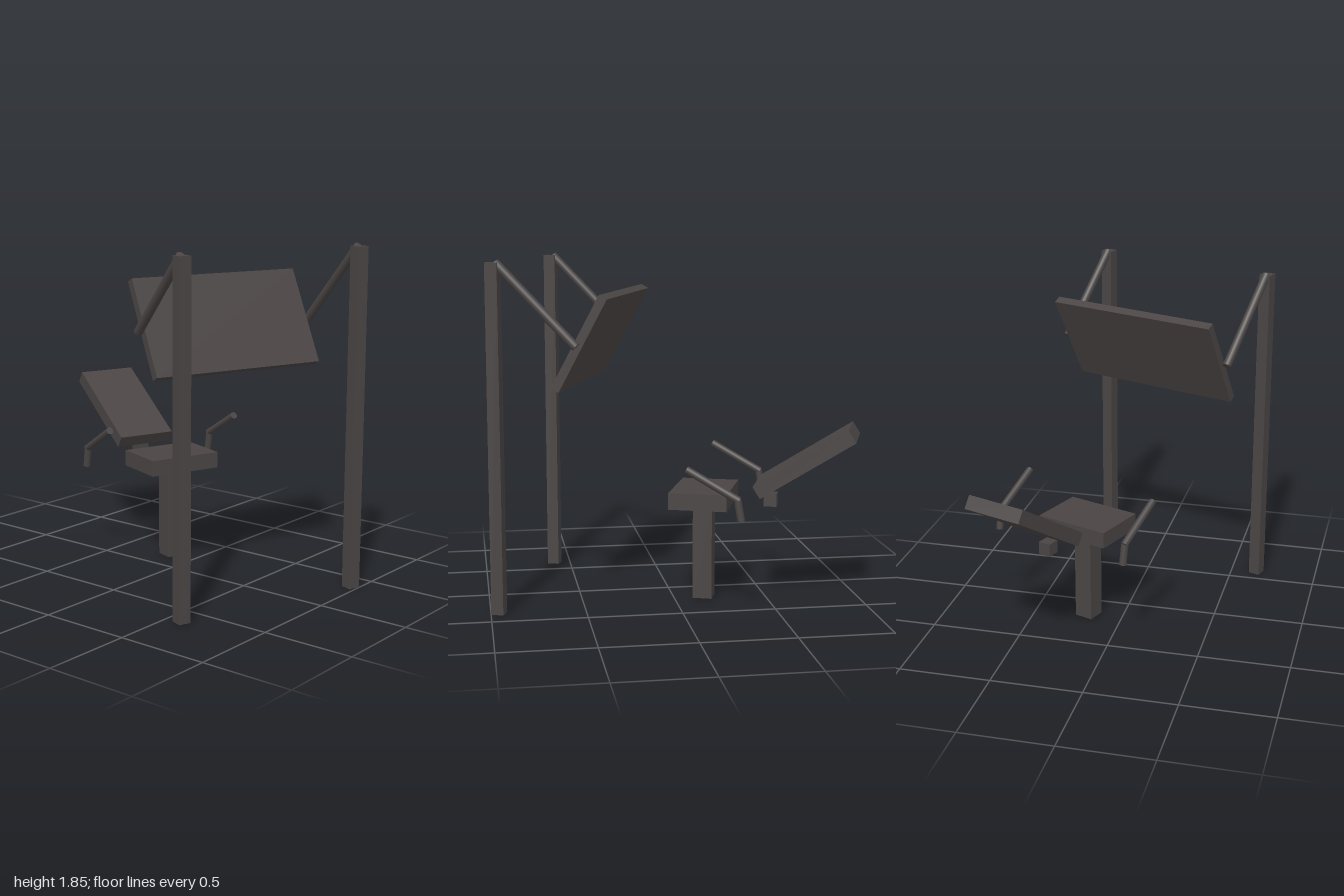
import * as THREE from 'three';

export function createModel() {
  const model = new THREE.Group();
  const charcoal = new THREE.MeshStandardMaterial({ color: 0x4a4544 });

  // Everything is laid out along its own axis, then turned about y
  const station = new THREE.Group();
  station.name = 'workstation';
  station.rotation.y = THREE.MathUtils.degToRad(-20);
  model.add(station);

  const MID = -0.126; // symmetry plane of the station (local z)

  function box(name, size, pos, tilt = 0) {
    const mesh = new THREE.Mesh(new THREE.BoxGeometry(...size), charcoal);
    mesh.name = name;
    mesh.position.set(...pos);
    mesh.rotation.z = THREE.MathUtils.degToRad(tilt);
    station.add(mesh);
  }

  // Round bar between two points in the plane at the given z
  function bar(name, [x0, y0], [x1, y1], z, radius) {
    const dx = x1 - x0, dy = y1 - y0;
    const geo = new THREE.CylinderGeometry(radius, radius, Math.hypot(dx, dy), 20);
    const mesh = new THREE.Mesh(geo, charcoal);
    mesh.name = name;
    mesh.position.set((x0 + x1) / 2, (y0 + y1) / 2, z);
    mesh.rotation.z = Math.atan2(dy, dx) - Math.PI / 2;
    station.add(mesh);
  }

  // Chair
  box('seat', [0.314, 0.09, 0.43], [-0.223, 0.57, MID]);
  box('seatPost', [0.105, 0.525, 0.105], [-0.223, 0.2625, MID]);
  box('backrest', [0.59, 0.075, 0.343], [-0.78, 0.7825, MID], -32.2);
  box('backrestBracket', [0.07, 0.07, 0.07], [-0.588, 0.56, MID]);

  // Tilted display panel
  box('panel', [0.047, 0.545, 1.012], [0.34, 1.428, MID], 28.2);

  // Mirrored armrests, panel posts and struts
  for (const [side, s] of [['front', 1], ['back', -1]]) {
    const armZ = MID + s * 0.412;
    bar(side + 'ArmrestStub', [-0.487, 0.525], [-0.468, 0.635], armZ, 0.02);
    bar(side + 'Armrest', [-0.475, 0.632], [-0.2, 0.785], armZ, 0.02);

    const postZ = MID + s * 0.534;
    box(side + 'Post', [0.066, 1.84, 0.066], [0.778, 0.92, postZ]);
    bar(side + 'Strut', [0.347, 1.417], [0.765, 1.838], postZ, 0.024);
  }

  return model;
}
